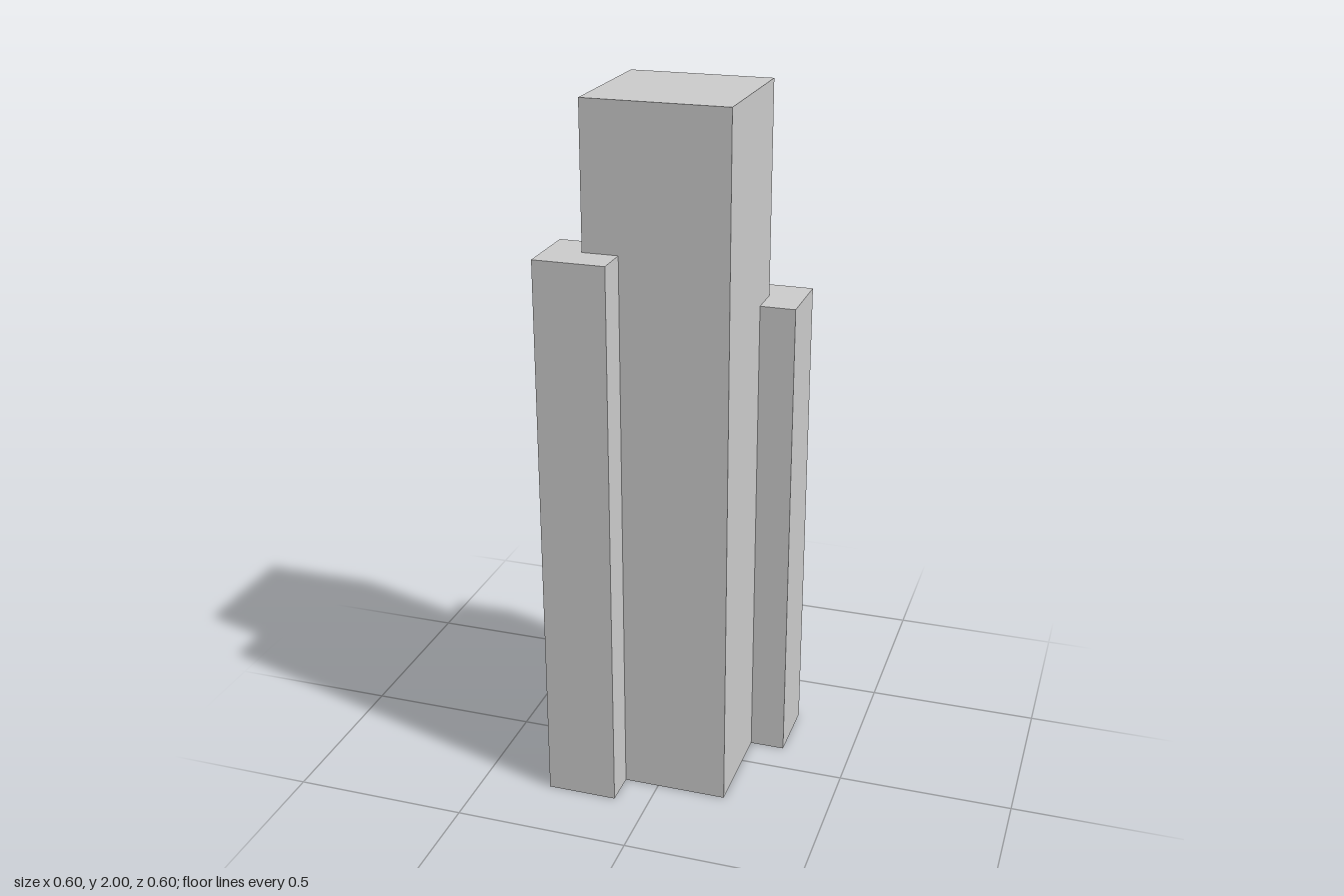
import * as THREE from 'three';

const material = new THREE.MeshStandardMaterial({ color: 0xcccccc, flatShading: true, side: THREE.DoubleSide });

// Vertical wall standing on a polyline of [x, z] points, from y0 to y1
function wall(points, y0, y1) {
  const positions = [];
  for (let i = 0; i < points.length - 1; i++) {
    const [ax, az] = points[i];
    const [bx, bz] = points[i + 1];
    positions.push(ax, y0, az, bx, y0, bz, bx, y1, bz);
    positions.push(ax, y0, az, bx, y1, bz, ax, y1, az);
  }
  const geometry = new THREE.BufferGeometry();
  geometry.setAttribute('position', new THREE.Float32BufferAttribute(positions, 3));
  geometry.computeVertexNormals();
  return geometry;
}

// Flat roof over a closed outline of [x, z] points
function roof(points, y) {
  const shape = new THREE.Shape(points.map(([x, z]) => new THREE.Vector2(x, -z)));
  return new THREE.ShapeGeometry(shape).rotateX(-Math.PI / 2).translate(0, y, 0);
}

export function createModel() {
  const model = new THREE.Group();
  const add = (name, geometry) => {
    const mesh = new THREE.Mesh(geometry, material);
    mesh.name = name;
    model.add(mesh);
  };

  const height = 2;
  const wings = [
    { name: 'backWing', turn: 1, top: 1.4 },
    { name: 'frontWing', turn: -1, top: 1.6 },
  ];

  // The hollow tower is open underneath, and each wing opens into it.
  for (const { name, turn, top } of wings) {
    const place = (points) => points.map(([x, z]) => [x * turn, z * turn]);
    const wing = place([[0.2, -0.1], [0.3, -0.1], [0.3, -0.3], [0.1, -0.3], [0.1, -0.2]]);
    const corner = place([[0.2, -0.1], [0.2, -0.2], [0.1, -0.2]]);
    const side = place([[-0.1, 0.2], [0.2, 0.2], [0.2, -0.1]]);

    add(name + 'Walls', wall(wing, 0, top));
    add(name + 'Roof', roof([...wing, corner[1]], top));
    // Tower corner rising above the wing
    add(name + 'TowerCorner', wall(corner, top, height));
    // Full-height tower walls between the wings
    add(name + 'TowerSide', wall(side, 0, height));
  }

  add('towerRoof', roof([[-0.2, 0.2], [0.2, 0.2], [0.2, -0.2], [-0.2, -0.2]], height));
  return model;
}
